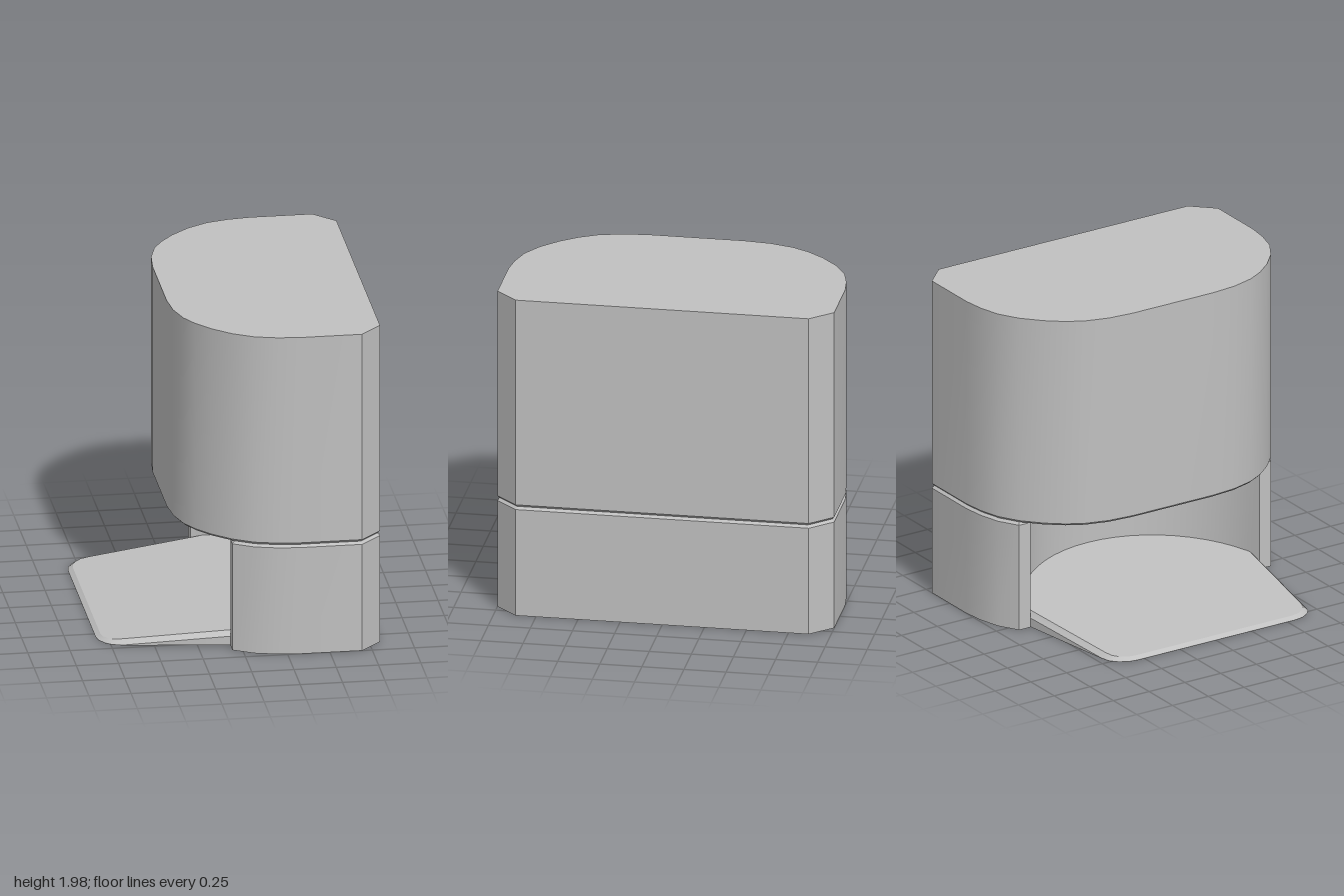
import * as THREE from 'three';
import { toCreasedNormals } from 'three/addons/utils/BufferGeometryUtils.js';

const grey = new THREE.MeshStandardMaterial({ color: 0xc0c0c0 });
grey.name = 'light grey';

// Half outlines as [x, z] on the +z side, running from -x to +x
const SIDE = [[-0.06, 0.88], [0.06, 0.95], [0.19, 0.985], [0.32, 1], [0.69, 1], [0.815, 0.87]];
const NOSE = [[-0.36, 0.28], [-0.345, 0.44], [-0.305, 0.58], [-0.25, 0.68], [-0.17, 0.78]];
const RAMP = [[-0.82, 0.55], [-0.81, 0.61], [-0.78, 0.66], [-0.74, 0.695], [-0.68, 0.71]];

const mirror = (half) => [...half, ...half.map(([x, z]) => [x, -z]).reverse()];

// Arc of the round chamber, from +z over the back to -z
function chamberArc(radius, start, steps = 24) {
  return Array.from({ length: steps + 1 }, (_, i) => {
    const a = start * (1 - (2 * i) / steps);
    return [-0.28 + radius * Math.cos(a), radius * Math.sin(a)];
  });
}

// Moves every edge of a closed outline inwards by d
function inset(pts, d) {
  const n = pts.length;
  const normal = (a, b) => {
    const l = Math.hypot(b[0] - a[0], b[1] - a[1]);
    return [(a[1] - b[1]) / l, (b[0] - a[0]) / l];
  };
  return pts.map((p, i) => {
    const u = normal(pts[(i + n - 1) % n], p);
    const v = normal(p, pts[(i + 1) % n]);
    const k = d / (1 + u[0] * v[0] + u[1] * v[1]);
    return [p[0] - (u[0] + v[0]) * k, p[1] - (u[1] + v[1]) * k];
  });
}

// Solid through outlines stacked upwards; height is a number or a function of x
function loft(name, layers) {
  const rings = layers.map(([pts, h]) =>
    pts.map(([x, z]) => [x, typeof h === 'function' ? h(x) : h, z]));
  const pos = [];
  const tri = (a, b, c) => pos.push(...a, ...b, ...c);
  for (let r = 0; r < rings.length - 1; r++) {
    const a = rings[r], b = rings[r + 1];
    for (let i = 0; i < a.length; i++) {
      const j = (i + 1) % a.length;
      tri(a[i], a[j], b[j]);
      tri(a[i], b[j], b[i]);
    }
  }
  const cap = (ring, up) => {
    const flat = ring.map((p) => new THREE.Vector2(p[0], -p[2]));
    for (const [i, j, k] of THREE.ShapeUtils.triangulateShape(flat, [])) {
      const ccw = THREE.ShapeUtils.area([flat[i], flat[j], flat[k]]) > 0;
      if (ccw === up) tri(ring[i], ring[j], ring[k]);
      else tri(ring[i], ring[k], ring[j]);
    }
  };
  cap(rings[0], false);
  cap(rings[rings.length - 1], true);
  const geo = new THREE.BufferGeometry();
  geo.setAttribute('position', new THREE.Float32BufferAttribute(pos, 3));
  const mesh = new THREE.Mesh(toCreasedNormals(geo, 0.42), grey);
  mesh.name = name;
  return mesh;
}

export function createModel() {
  const model = new THREE.Group();
  model.name = 'cabinet';

  // Overhanging upper cabinet with a bevelled lower rim
  const upper = mirror([...NOSE, ...SIDE]);
  model.add(loft('upperCabinet', [[inset(upper, 0.015), 0.68], [upper, 0.695], [upper, 1.98]]));

  // Lower body, open at the front around a round chamber
  const lower = [...mirror(SIDE), ...chamberArc(0.83, 1.302).reverse()];
  model.add(loft('lowerBody', [[lower, 0], [lower, 0.665], [inset(lower, 0.015), 0.68]]));

  // Sloping entry ramp that runs back into the chamber
  const arc = chamberArc(0.86, 1.22);
  const ramp = [...RAMP, ...arc, ...RAMP.map(([x, z]) => [x, -z]).reverse()];
  model.add(loft('entryRamp', [
    [ramp, 0],
    [ramp, (x) => Math.max(0.002, 0.0887 * (x + 0.68))],
    [inset(ramp, 0.028), (x) => 0.02 + 0.0878 * (x + 0.8)],
  ]));
  return model;
}
